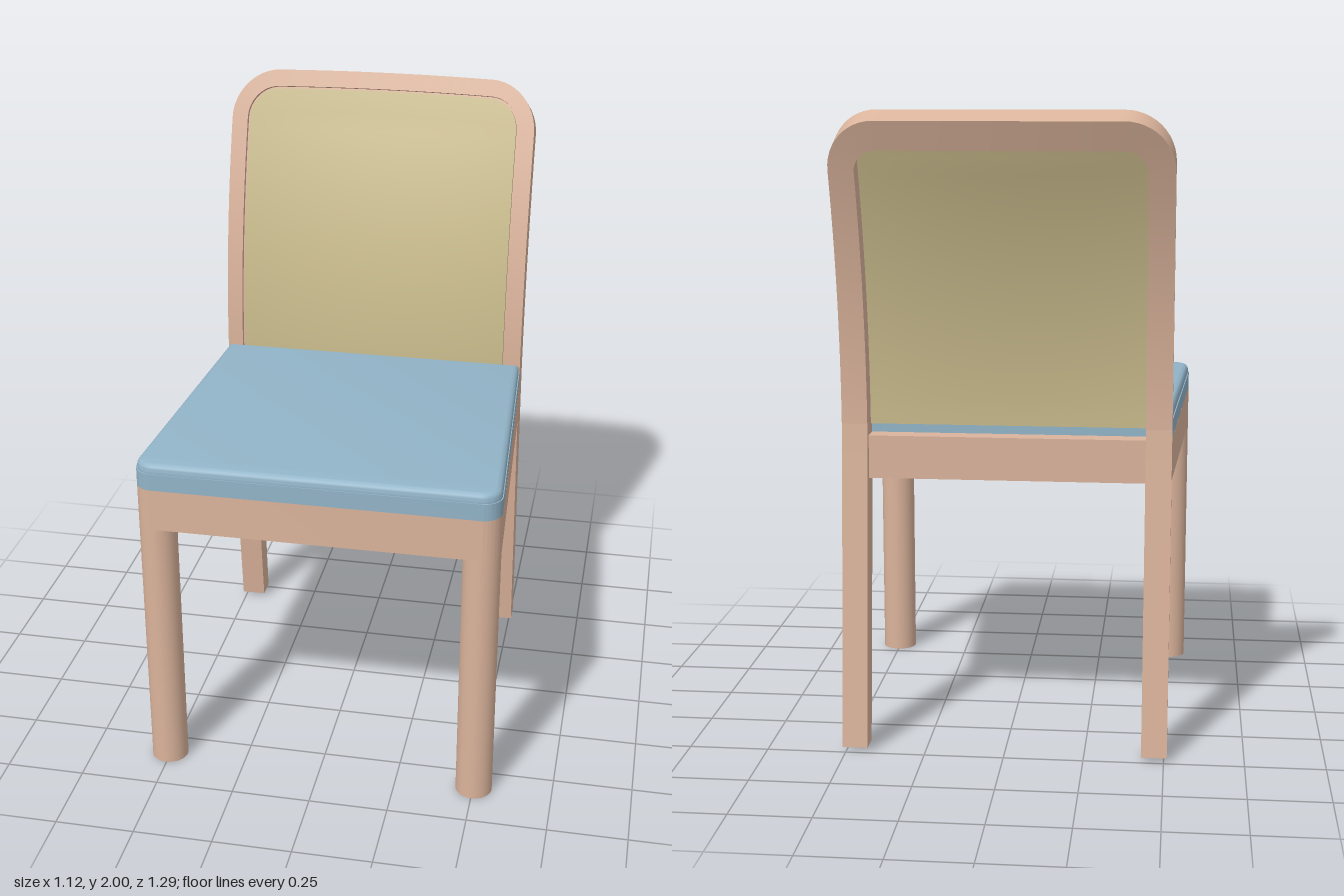
import * as THREE from 'three';
import { toCreasedNormals } from 'three/addons/utils/BufferGeometryUtils.js';

const TOP = 2.0, SEAT = 1.0, HALF = 0.51;

// Point on the curved back: sweeps rearward with height, bows across the width,
// then steps in by depth d along the surface normal.
function backPoint(x, y, d) {
  const h = Math.max(0, y - 1.05);
  const bow = 0.044 * (1 - (x / HALF) ** 2) * Math.min(1, h / 0.8);
  const tilt = Math.atan(0.45 * h);
  return [x, y - d * Math.sin(tilt), -0.33 - 0.225 * h * h - bow - d * Math.cos(tilt)];
}

// Seat plan: tapered toward the rear, rounded at the front corners (shape y = -z)
function seatPlan(inset, rear, r = 0.058) {
  const f = 0.56 - inset, b = HALF - inset, z = 0.64 - inset;
  const s = new THREE.Shape();
  s.moveTo(-b, -rear);
  s.lineTo(-f, -(z - r));
  s.absarc(-f + r, -(z - r), r, Math.PI, Math.PI * 1.5, false);
  s.absarc(f - r, -(z - r), r, Math.PI * 1.5, Math.PI * 2, false);
  s.lineTo(b, -rear);
  s.closePath();
  return s;
}

function slab(shape, y, depth, bevel = {}) {
  const g = new THREE.ExtrudeGeometry(shape, { depth, bevelEnabled: false, curveSegments: 10, ...bevel });
  g.rotateX(-Math.PI / 2);
  g.translate(0, y, 0);
  return toCreasedNormals(g, 0.6);
}

// Arched back frame: rebated section swept up one post, over the top and down the other
function backFrameGeometry() {
  const r = 0.15, half = [];
  for (let i = 0; i < 16; i++) half.push([HALF, 1.03 + (TOP - r - 1.03) * i / 16, 0]);
  for (let i = 0; i <= 12; i++) {
    const a = i / 12 * Math.PI / 2;
    half.push([HALF - r + r * Math.cos(a), TOP - r + r * Math.sin(a), a]);
  }
  for (let i = 1; i <= 8; i++) half.push([(HALF - r) * (1 - i / 8), TOP, Math.PI / 2]);
  const path = [...half, ...half.slice(0, -1).reverse().map(([x, y, a]) => [-x, y, Math.PI - a])];

  const pos = [], index = [], n = 6;
  path.forEach(([x, y, a], i) => {
    // The crest is slightly taller than the posts are wide
    const back = 0.08 + 0.008 * Math.sin(a);
    const section = [[0, 0], [0.051, 0], [0.051, 0.017], [back, 0.017], [back, 0.08], [0, 0.08]];
    section.forEach(([s, d], j) => {
      pos.push(...backPoint(x - s * Math.cos(a), y - s * Math.sin(a), d));
      if (i === path.length - 1) return;
      const k = (j + 1) % n, p = i * n, q = p + n;
      index.push(p + j, q + j, q + k, p + j, q + k, p + k);
    });
  });
  const g = new THREE.BufferGeometry();
  g.setAttribute('position', new THREE.Float32BufferAttribute(pos, 3));
  g.setIndex(index);
  return toCreasedNormals(g, 0.6);
}

// Back panel: a fine box bent to the back curve, narrowing round its top corners
function backPanelGeometry() {
  const g = new THREE.BoxGeometry(1, 1, 1, 20, 30, 1), p = g.attributes.position;
  const r = 0.09, top = 1.942, bottom = 1.03, half = 0.45;
  for (let i = 0; i < p.count; i++) {
    const v = p.getY(i) + 0.5;
    const a = Math.max(0, (v - 0.7) / 0.3) * Math.PI / 2;
    const y = v < 0.7 ? bottom + (top - r - bottom) * v / 0.7 : top - r + r * Math.sin(a);
    const w = half - r + r * Math.cos(a);
    p.setXYZ(i, ...backPoint(p.getX(i) * 2 * w, y, p.getZ(i) > 0 ? 0 : 0.019));
  }
  return toCreasedNormals(g, 0.6);
}

export function createModel() {
  const wood = new THREE.MeshStandardMaterial({ color: 0xdab39b });
  wood.name = 'paleWood';
  const fabric = new THREE.MeshStandardMaterial({ color: 0x92b4c8 });
  fabric.name = 'blueFabric';
  const weave = new THREE.MeshStandardMaterial({ color: 0xc9bb8c });
  weave.name = 'strawPanel';

  const chair = new THREE.Group();
  chair.name = 'chair';
  const add = (name, geometry, material) => {
    const m = new THREE.Mesh(geometry, material);
    m.name = name;
    chair.add(m);
    return m;
  };

  // Seat rails: front and sides as one ring, rear rail between the back legs
  const rails = seatPlan(0, -0.335);
  rails.holes.push(seatPlan(0.075, -0.33, 0.01));
  add('seatRails', slab(rails, 0.865, SEAT - 0.865), wood);
  add('rearRail', new THREE.BoxGeometry(0.88, 0.135, 0.06), wood).position.set(0, 0.9325, -0.362);

  // Upholstered seat: flat base and soft-edged pad
  add('seatBase', slab(seatPlan(0, -0.33), SEAT, 0.055), fabric);
  add('seatPad', slab(seatPlan(0.003, -0.33), 1.055, 0.008, {
    bevelEnabled: true, bevelThickness: 0.022, bevelSize: 0.02, bevelOffset: -0.02, bevelSegments: 5,
  }), fabric);

  // Raked rear leg side profile, drawn as (-z, y)
  const rake = new THREE.Shape([
    [0.425, 0.015], [0.495, 0.015], [0.415, 0.95], [0.41, 1.04], [0.33, 1.04], [0.333, 0.87],
  ].map(([a, b]) => new THREE.Vector2(a, b)));
  const rearLeg = new THREE.ExtrudeGeometry(rake, { depth: 0.08, bevelEnabled: false });
  rearLeg.rotateY(Math.PI / 2);
  rearLeg.translate(-0.04, 0, 0);

  for (const [side, s] of [['left', 1], ['right', -1]]) {
    add(side + 'FrontLeg', new THREE.CylinderGeometry(0.058, 0.058, 0.99, 32), wood)
      .position.set(s * 0.502, 0.495, 0.582);
    add(side + 'RearLeg', rearLeg, wood).position.x = s * 0.47;
  }

  add('backFrame', backFrameGeometry(), wood);
  add('backPanel', backPanelGeometry(), weave);
  return chair;
}
